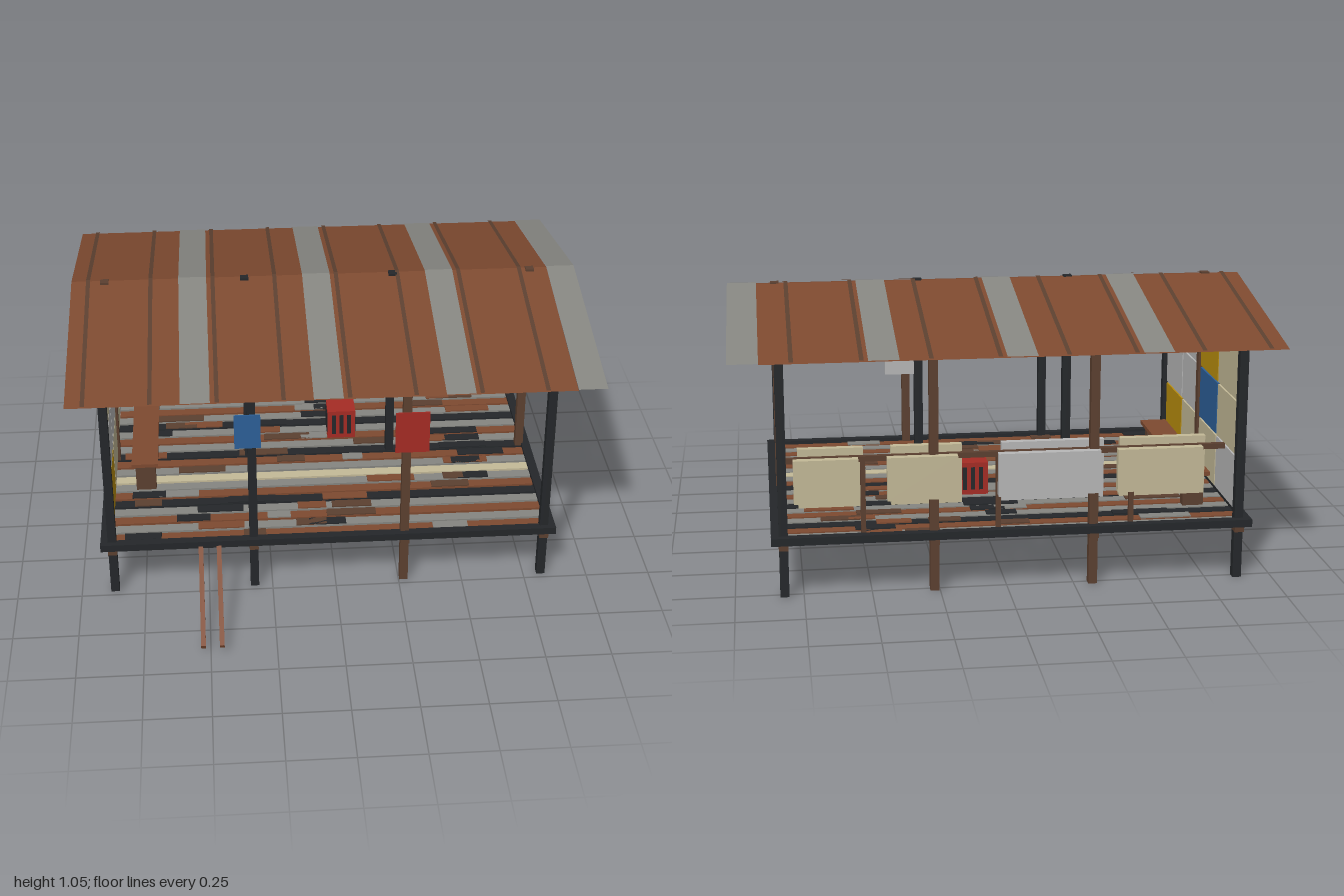
import * as THREE from 'three';

const mat = (name, color, side = THREE.FrontSide) => {
  const m = new THREE.MeshStandardMaterial({ color, side });
  m.name = name;
  return m;
};

export function createModel() {
  const root = new THREE.Group();
  root.name = 'stiltShelter';
  const charcoal = mat('charcoal', 0x24272a);
  const wood = mat('brown wood', 0x5c4030);
  const rust = mat('rust', 0x7e4a30, THREE.DoubleSide);
  const zinc = mat('zinc', 0x868681, THREE.DoubleSide);
  const cream = mat('cream', 0xc4ba98);
  const grey = mat('light grey', 0xb8b8b8);
  const red = mat('red', 0xa62c24);
  const blue = mat('blue', 0x2d6099);
  const gold = mat('gold', 0xbb8f0e);

  const group = (name) => {
    const g = new THREE.Group();
    g.name = name;
    root.add(g);
    return g;
  };
  // box given by its limits on each axis
  const box = (parent, name, m, [x0, x1], [y0, y1], [z0, z1]) => {
    const mesh = new THREE.Mesh(new THREE.BoxGeometry(x1 - x0, y1 - y0, z1 - z0), m);
    mesh.position.set((x0 + x1) / 2, (y0 + y1) / 2, (z0 + z1) / 2);
    mesh.name = name;
    parent.add(mesh);
    return mesh;
  };
  const around = (c, w) => [c - w / 2, c + w / 2];

  let seed = 11;
  const rand = () => (seed = (seed * 16807) % 2147483647) / 2147483647;

  const postX = [-0.87, -0.32, 0.27, 0.82];
  const front = 0.46, middle = -0.15, back = -0.76;

  // Stilt posts, front to back, with the tall middle row carrying the ridge
  const posts = group('posts');
  const rows = [
    [front, 0.92, [charcoal, charcoal, wood, charcoal]],
    [middle, 1.05, [wood, charcoal, charcoal, wood]],
    [back, 0.92, [charcoal, wood, wood, charcoal]],
  ];
  for (const [z, top, mats] of rows)
    postX.forEach((x, i) => box(posts, 'post', mats[i], around(x, 0.033), [0, top], around(z, 0.033)));

  // Eave beams and floor bearers
  const beams = group('beams');
  for (const z of [front, back]) box(beams, 'eaveBeam', rust, [-0.93, 0.875], [0.882, 0.907], around(z, 0.028));
  for (const x of postX) box(beams, 'floorBearer', wood, around(x, 0.035), [0.182, 0.206], [-0.79, 0.49]);

  // Deck rim
  const deck = group('deck');
  for (const z of [0.48, -0.785]) box(deck, 'deckRim', charcoal, [-0.915, 0.865], [0.205, 0.234], around(z, 0.035));
  for (const x of [-0.897, 0.847]) box(deck, 'deckRim', charcoal, around(x, 0.035), [0.205, 0.234], [-0.8, 0.495]);

  // Mismatched floor boards with short patches
  const boards = [rust, zinc, rust, zinc, charcoal, rust, zinc, cream, zinc, rust, charcoal,
    zinc, rust, zinc, charcoal, zinc, rust, zinc, charcoal, rust, zinc];
  const pitch = 1.23 / boards.length;
  boards.forEach((m, i) => {
    const z = 0.46 - pitch * (i + 0.5);
    box(deck, 'floorBoard', m, [-0.88, 0.83], [0.207, 0.222], around(z, pitch * 0.78));
    if (m === cream) return;
    for (let k = 0; k < 3; k++) {
      const x = -0.75 + rand() * 1.4, w = 0.08 + rand() * 0.14;
      const patch = [charcoal, wood, m === rust ? zinc : rust][k];
      box(deck, 'boardPatch', patch, around(x, w), [0.222, 0.227], around(z, pitch * 0.72));
    }
  });

  // Gable roof: flat sheets bent along the ridge
  const roof = group('roof');
  const sheet = (name, m, x0, x1, lift) => {
    let g = new THREE.PlaneGeometry(x1 - x0, 1.48, 1, 2).rotateX(-Math.PI / 2);
    const p = g.attributes.position;
    for (let i = 0; i < p.count; i++) p.setY(i, 1.046 - 0.142 * Math.abs(p.getZ(i)) / 0.74 + lift);
    g = g.toNonIndexed();
    g.computeVertexNormals();
    const mesh = new THREE.Mesh(g, m);
    mesh.position.set((x0 + x1) / 2, 0, -0.16);
    mesh.name = name;
    roof.add(mesh);
  };
  sheet('roofSheet', rust, -1, 0.89, 0);
  const battenMat = mat('brown batten', 0x5c4030, THREE.DoubleSide);
  for (let i = 0; i < 8; i++) {
    sheet('roofRib', battenMat, -0.942 + i * 0.2445, -0.926 + i * 0.2445, 0.006);
    if (i % 2) sheet('metalStrip', zinc, -0.825 + i * 0.245, -0.715 + i * 0.245, 0.004);
  }

  // Patchwork end wall, rows from the bottom, columns from the front
  const wall = group('patchworkWall');
  const panels = [
    [gold, cream, cream, grey],
    [grey, grey, blue, cream],
    [cream, grey, gold, cream],
  ];
  panels.forEach((row, j) => row.forEach((m, i) => {
    const z = 0.274 - i * 0.284, y = 0.355 + j * 0.209;
    box(wall, 'wallPanel', m, around(-0.87, 0.014), around(y, 0.202), around(z, 0.273));
  }));

  // Back rail with cloths folded over it
  const rail = group('backRail');
  box(rail, 'handRail', wood, [-0.81, 0.82], [0.503, 0.523], around(-0.757, 0.02));
  for (const x of [-0.462, 0.033, 0.528])
    box(rail, 'railPost', wood, around(x, 0.018), [0.225, 0.505], around(-0.757, 0.018));
  const cloths = [[-0.74, -0.42, cream], [-0.36, 0.02, grey], [0.165, 0.425, cream], [0.525, 0.762, cream]];
  for (const [a, b, m] of cloths) {
    box(rail, 'clothInside', m, [a, b], [0.328, 0.55], [-0.745, -0.718]);
    box(rail, 'clothOutside', m, [a + 0.02, b + 0.017], [0.36, 0.522], [-0.8, -0.77]);
  }

  // Boards hung on the posts
  const hung = group('hungBoards');
  box(hung, 'blueBoard', blue, [-0.385, -0.285], [0.645, 0.79], [0.477, 0.482]);
  box(hung, 'redBoard', red, [0.225, 0.355], [0.6, 0.775], [0.477, 0.482]);
  box(hung, 'creamBoard', cream, [0.285, 0.4], [0.757, 1.02], [-0.135, -0.115]);
  box(hung, 'greyBoard', grey, [0.285, 0.4], [0.67, 0.757], [-0.156, -0.144]);

  // Bench
  const bench = group('bench');
  box(bench, 'benchSeat', rust, [-0.795, -0.69], [0.353, 0.368], [-0.62, 0.135]);
  for (const z of [0.08, -0.24, -0.56])
    box(bench, 'benchLeg', wood, [-0.782, -0.702], [0.225, 0.354], around(z, 0.038));

  // Crate with dark slots on all sides
  const crate = group('crate');
  box(crate, 'crateBody', red, [0.018, 0.135], [0.228, 0.356], [-0.35, -0.24]);
  for (const d of [-0.032, 0, 0.032]) {
    box(crate, 'crateSlot', charcoal, around(0.077 + d, 0.016), [0.248, 0.338], [-0.352, -0.238]);
    box(crate, 'crateSlot', charcoal, [0.016, 0.137], [0.248, 0.338], around(-0.295 + d, 0.016));
  }

  // Ramp poles leaning on the front edge
  const ramp = group('ramp');
  const rise = 0.172, run = 0.4;
  for (const x of [-0.527, -0.457]) {
    const pole = box(ramp, 'rampPole', rust, around(x, 0.018), around(0.12, 0.018), around(0.695, Math.hypot(rise, run)));
    pole.rotation.x = Math.atan2(rise, run);
  }
  return root;
}
